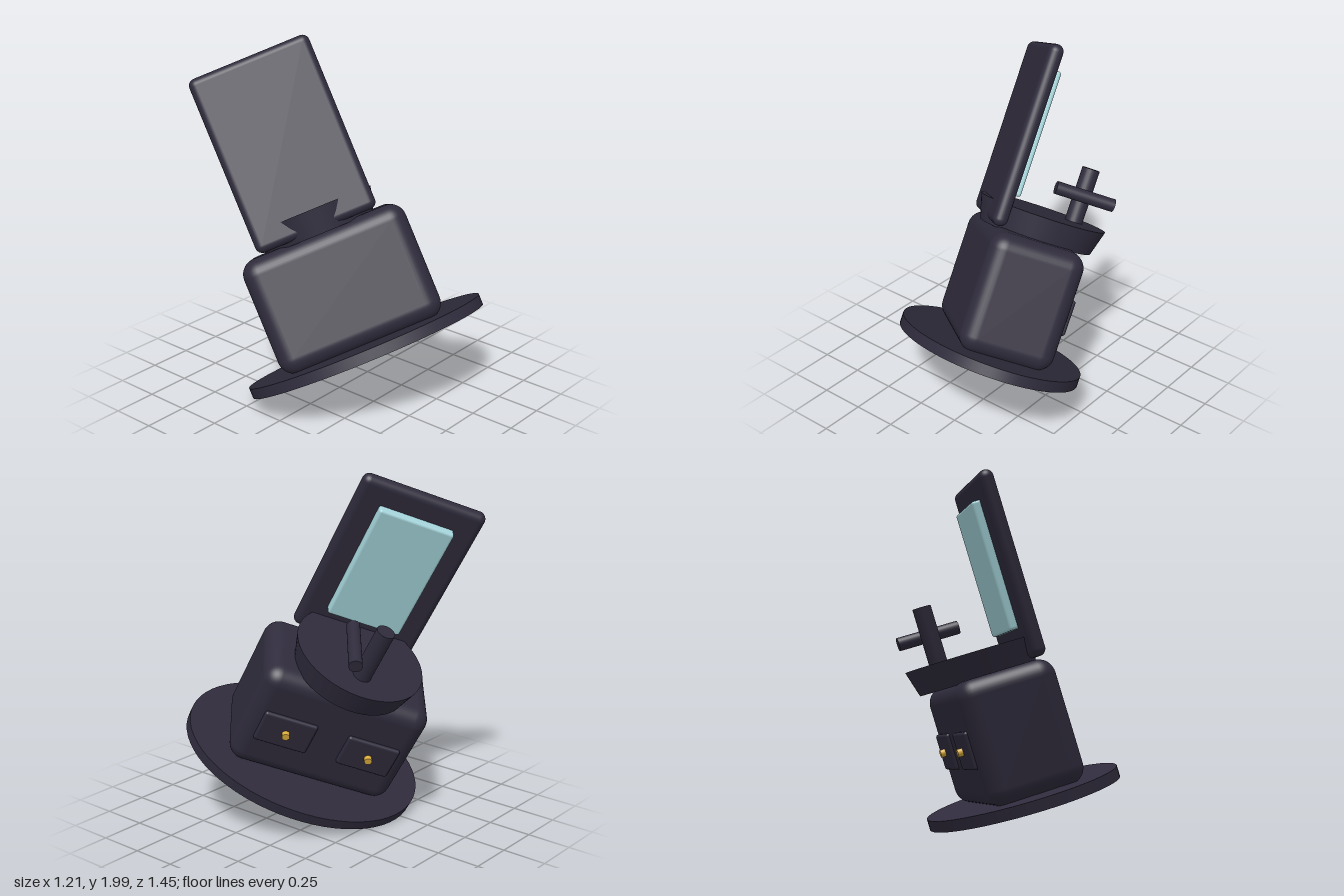
import * as THREE from 'three';
import { RoundedBoxGeometry } from 'three/addons/geometries/RoundedBoxGeometry.js';

const dark = new THREE.MeshStandardMaterial({ color: 0x2f2b3c });
const glass = new THREE.MeshStandardMaterial({ color: 0xa4d4da });
const brass = new THREE.MeshStandardMaterial({ color: 0xdcae3c });

export function createModel() {
  const model = new THREE.Group();
  model.name = 'washstand';

  const add = (name, geometry, material, x, y, z) => {
    const mesh = new THREE.Mesh(geometry, material);
    mesh.name = name;
    mesh.position.set(x, y, z);
    model.add(mesh);
    return mesh;
  };
  const box = (w, h, d, r) => new RoundedBoxGeometry(w, h, d, 5, r);

  // Oval floor plate
  const base = add('base', new THREE.CylinderGeometry(1, 1, 0.06, 64), dark, 0, 0.03, 0);
  base.scale.set(0.684, 1, 0.513);

  // Cabinet with softly rounded edges
  add('cabinet', box(0.94, 0.66, 0.53, 0.09), dark, 0, 0.38, 0);

  // Two drawers, each with a small knob
  for (const side of [-1, 1]) {
    add('drawer', box(0.3, 0.2, 0.05, 0.015), dark, side * 0.238, 0.365, 0.26);
    const knob = add('drawerKnob', new THREE.CylinderGeometry(0.021, 0.021, 0.035, 20), brass, side * 0.238, 0.365, 0.295);
    knob.rotation.x = Math.PI / 2;
  }

  // Flared basin overhanging the cabinet front
  add('basin', new THREE.CylinderGeometry(0.36, 0.32, 0.14, 64), dark, 0, 0.768, 0.045);

  // Tap: upright stem and a spout lying beside it
  add('tapStem', new THREE.CylinderGeometry(0.05, 0.05, 0.33, 24), dark, 0, 0.98, 0.226);
  const spout = add('tapSpout', new THREE.CylinderGeometry(0.036, 0.036, 0.34, 24), dark, -0.11, 0.995, 0.214);
  spout.rotation.x = Math.PI / 2;

  // Mirror: back panel and raised glass
  add('mirrorPanel', box(0.69, 1.0, 0.082, 0.04), dark, 0, 1.22, -0.233);
  add('mirrorGlass', box(0.42, 0.7, 0.06, 0.015), glass, 0, 1.24, -0.175);

  // The whole piece is turned on its axis, then leans back
  model.rotation.set(-Math.PI / 6, Math.PI * 0.75, 0, 'XYZ');
  model.position.set(0, 0.304, 0.206);

  const root = new THREE.Group();
  root.name = 'leaningWashstand';
  root.add(model);
  return root;
}
